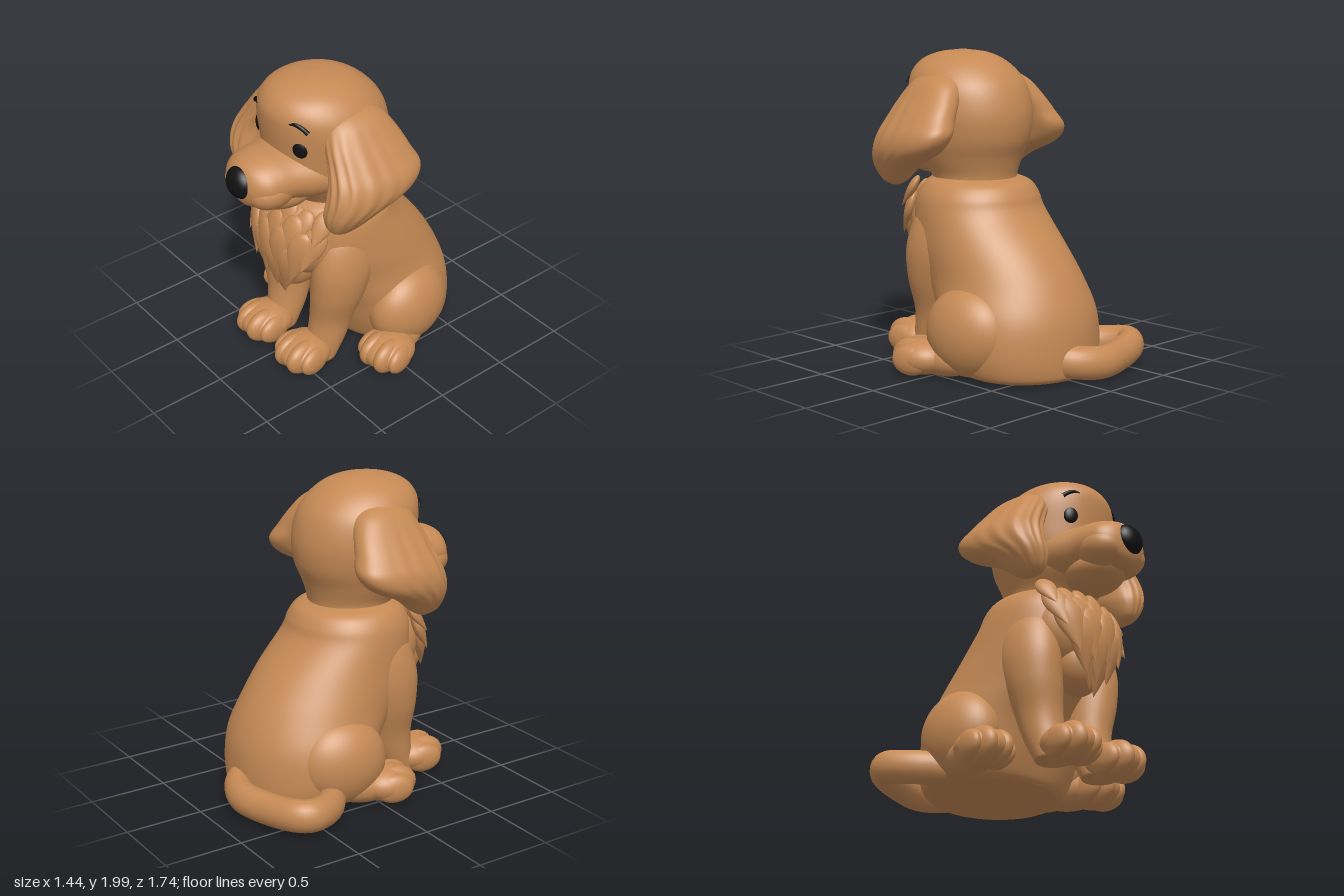
import * as THREE from 'three';

const fur = new THREE.MeshStandardMaterial({ color: 0xc68a55 });
const black = new THREE.MeshStandardMaterial({ color: 0x111111 });
const CX = 0.03; // middle of the head

// Smooth skin over elliptical rings listed bottom to top: [y, cx, cz, rx, rz]
function loft(rings, { steps = 48, sides = 64, skew = 0, bump = () => 1 } = {}) {
  const curve = pts => new THREE.CatmullRomCurve3(pts, false, 'catmullrom', 0.5);
  const mid = curve(rings.map(r => new THREE.Vector3(r[1], r[0], r[2])));
  const rad = curve(rings.map(r => new THREE.Vector3(r[3], r[4], 0)));
  const pos = [], idx = [];
  for (let i = 0; i <= steps; i++) {
    const t = i / steps, c = mid.getPoint(t), r = rad.getPoint(t);
    for (let j = 0; j < sides; j++) {
      const a = (j / sides) * Math.PI * 2, k = bump(a, t);
      const dz = Math.cos(a) * r.y * k;
      pos.push(c.x + Math.sin(a) * r.x * k + dz * skew, c.y, c.z + dz);
      if (i < steps) {
        const p = i * sides + j, q = i * sides + (j + 1) % sides;
        idx.push(p, q, q + sides, p, q + sides, p + sides);
      }
    }
  }
  // end caps
  const low = pos.length / 3, top = low + 1, last = steps * sides;
  const a = mid.getPoint(0), b = mid.getPoint(1);
  pos.push(a.x, a.y, a.z, b.x, b.y, b.z);
  for (let j = 0; j < sides; j++) {
    const n = (j + 1) % sides;
    idx.push(low, n, j, top, last + j, last + n);
  }
  const g = new THREE.BufferGeometry();
  g.setAttribute('position', new THREE.Float32BufferAttribute(pos, 3));
  g.setIndex(idx);
  g.computeVertexNormals();
  return g;
}

export function createModel() {
  const model = new THREE.Group();
  model.name = 'puppy';
  const sphere = new THREE.SphereGeometry(1, 40, 28);

  const add = (name, geometry, material = fur, parent = model) => {
    const m = new THREE.Mesh(geometry, material);
    m.name = name;
    parent.add(m);
    return m;
  };
  const ball = (name, p, r, rot = [0, 0, 0], material = fur, parent = model) => {
    const m = add(name, sphere, material, parent);
    m.position.set(...p);
    m.scale.set(...r);
    m.rotation.set(...rot);
    return m;
  };

  // Sitting body, from the flat seat to the neck, squarer at the shoulders
  add('body', loft([
    [0.02, 0.01, -0.31, 0.41, 0.38],
    [0.06, 0.01, -0.31, 0.47, 0.41],
    [0.20, 0.01, -0.29, 0.51, 0.44],
    [0.40, 0.01, -0.245, 0.505, 0.465],
    [0.60, 0.01, -0.14, 0.46, 0.49],
    [0.80, 0.02, -0.015, 0.435, 0.48],
    [1.00, 0.02, 0.08, 0.41, 0.395],
    [1.10, 0.02, 0.10, 0.385, 0.37],
    [1.17, 0.02, 0.11, 0.335, 0.33],
    [1.21, 0.03, 0.13, 0.26, 0.25],
  ], {
    bump: (a, t) => 1 + 0.09 * Math.sin(2 * a) ** 2 * Math.max(0, Math.cos(a)) * Math.sin(Math.PI * t),
  }));

  // Head with the neck
  add('head', loft([
    [1.14, CX, 0.11, 0.27, 0.25],
    [1.22, CX, 0.14, 0.27, 0.28],
    [1.33, CX, 0.17, 0.32, 0.34],
    [1.45, CX, 0.165, 0.36, 0.385],
    [1.60, CX, 0.165, 0.38, 0.40],
    [1.75, CX, 0.19, 0.375, 0.39],
    [1.85, CX, 0.22, 0.335, 0.355],
    [1.93, CX, 0.24, 0.26, 0.28],
    [1.98, CX, 0.24, 0.15, 0.17],
    [2.00, CX, 0.24, 0.02, 0.02],
  ]));

  // Blunt muzzle (lofted forward), jaw and nose
  const face = new THREE.Group();
  face.name = 'face';
  model.add(face);
  add('muzzle', loft([
    [0.34, CX, -1.43, 0.32, 0.19],
    [0.44, CX, -1.435, 0.29, 0.185],
    [0.55, CX, -1.445, 0.25, 0.17],
    [0.65, CX, -1.445, 0.23, 0.165],
    [0.73, CX, -1.435, 0.21, 0.155],
    [0.79, CX, -1.43, 0.155, 0.125],
    [0.82, CX, -1.43, 0.08, 0.065],
    [0.825, CX, -1.43, 0.01, 0.01],
  ]).rotateX(Math.PI / 2), fur, face);
  ball('lowerJaw', [CX, 1.31, 0.51], [0.19, 0.12, 0.22], [-0.08, 0, 0], fur, face);
  ball('nose', [CX, 1.452, 0.795], [0.105, 0.1, 0.072], [-0.15, 0, 0], black, face);

  for (const s of [1, -1]) {
    const side = s > 0 ? 'left' : 'right';
    const hx = u => CX + s * u;

    ball(side + 'Lip', [hx(0.1), 1.39, 0.64], [0.135, 0.115, 0.165], [0, s * 0.2, s * 0.25], fur, face);
    ball(side + 'Eye', [hx(0.19), 1.66, 0.492], [0.055, 0.068, 0.035], [0, s * 0.45, s * 0.15], black, face);

    // Short arched brow
    const brow = new THREE.CatmullRomCurve3([
      [0.145, 1.818, 0.532], [0.185, 1.824, 0.517], [0.225, 1.808, 0.5], [0.255, 1.78, 0.482],
    ].map(p => new THREE.Vector3(hx(p[0]), p[1], p[2])));
    add(side + 'Brow', new THREE.TubeGeometry(brow, 16, 0.014, 10), black, face);

    // Long floppy ear hanging from the crown, grooved toward the front and tip
    add(side + 'Ear', loft([
      [1.165, hx(0.455), 0.38, 0.02, 0.03],
      [1.20, hx(0.455), 0.38, 0.065, 0.10],
      [1.30, hx(0.475), 0.33, 0.12, 0.18],
      [1.40, hx(0.495), 0.22, 0.145, 0.275],
      [1.50, hx(0.48), 0.165, 0.15, 0.30],
      [1.60, hx(0.425), 0.165, 0.14, 0.27],
      [1.70, hx(0.36), 0.17, 0.13, 0.24],
      [1.80, hx(0.285), 0.175, 0.125, 0.19],
      [1.85, hx(0.24), 0.18, 0.09, 0.12],
      [1.875, hx(0.2), 0.18, 0.02, 0.03],
    ], {
      sides: 120,
      skew: -s * 0.06,
      bump: (a, t) => 1 + 0.06 * Math.sin(2 * a) ** 2 + 0.03 * Math.cos(a * 15 + 2 * t)
        * Math.max(0, Math.cos(a - s * 0.6)) * Math.sin(Math.PI * Math.max(0, 1 - t * 1.25)),
    }));

    // Straight front leg, merging into the shoulder
    add(side + 'FrontLeg', loft([
      [0.05, 0.01 + s * 0.21, 0.37, 0.11, 0.11],
      [0.20, 0.01 + s * 0.215, 0.31, 0.125, 0.13],
      [0.35, 0.01 + s * 0.225, 0.275, 0.135, 0.15],
      [0.55, 0.015 + s * 0.255, 0.25, 0.16, 0.19],
      [0.75, 0.02 + s * 0.27, 0.22, 0.16, 0.22],
      [0.95, 0.02 + s * 0.24, 0.19, 0.145, 0.2],
      [1.08, 0.02 + s * 0.2, 0.18, 0.08, 0.12],
    ], { sides: 40 }));

    // Folded hind leg
    ball(side + 'Thigh', [0.015 + s * 0.395, 0.305, -0.21], [0.205, 0.28, 0.3], [0.15, s * 0.12, 0]);
    ball(side + 'HindLeg', [0.02 + s * 0.46, 0.13, -0.05], [0.13, 0.115, 0.24], [0, s * 0.15, 0]);

    // Paws: a plump pad with four shallow toes
    const paw = (name, x, z, turn) => {
      const g = new THREE.Group();
      g.name = name;
      g.position.set(x, 0, z);
      g.rotation.y = turn;
      model.add(g);
      ball('pad', [0, 0.13, -0.01], [0.165, 0.115, 0.18], [0, 0, 0], fur, g);
      for (const k of [-1, 1]) {
        ball('innerToe', [k * 0.05, 0.13, 0.035], [0.07, 0.113, 0.145], [0, k * 0.08, 0], fur, g);
        ball('outerToe', [k * 0.112, 0.12, 0.0], [0.056, 0.095, 0.125], [0, k * 0.2, 0], fur, g);
      }
    };
    paw(side + 'FrontPaw', 0.01 + s * 0.205, 0.495, s * 0.05);
    paw(side + 'HindPaw', 0.035 + s * 0.51, 0.07, s * 0.12);
  }

  // Chest ruff: a soft bib covered with rows of pointed locks
  const ruff = new THREE.Group();
  ruff.name = 'chestRuff';
  model.add(ruff);
  ball('bib', [0.02, 0.92, 0.33], [0.32, 0.29, 0.245], [0, 0, 0], fur, ruff);
  ball('bibTip', [0, 0.72, 0.39], [0.17, 0.2, 0.16], [0, 0, 0], fur, ruff);
  const profile = new THREE.SplineCurve([
    [0, -1], [0.2, -0.65], [0.42, -0.15], [0.45, 0.25], [0.28, 0.58], [0, 0.7],
  ].map(p => new THREE.Vector2(...p))).getPoints(20).map(p => new THREE.Vector2(Math.max(0, p.x), p.y));
  const lockShape = new THREE.LatheGeometry(profile, 20);
  // rows: [height, depth at the middle, half width, locks, length, tilt]
  [[1.1, 0.485, 0.31, 6, 0.15, -0.5], [1.0, 0.535, 0.28, 5, 0.19, -0.3], [0.9, 0.56, 0.22, 4, 0.22, -0.08],
    [0.79, 0.555, 0.13, 3, 0.22, 0.1], [0.7, 0.53, 0.03, 2, 0.2, 0.2]].forEach(([y, z, w, n, len, tilt]) => {
    for (let i = 0; i < n; i++) {
      const k = (i / (n - 1)) * 2 - 1, x = k * w;
      const m = add('lock', lockShape, fur, ruff);
      m.position.set(0.01 + x, y + 0.02 * Math.cos(i * 2.4), 0.33 + (z - 0.33) * Math.sqrt(1 - (x / 0.37) ** 2));
      m.scale.set(len * 0.9, len, len * 0.42);
      m.rotation.set(tilt, x * 2.6, -x * 1.3, 'YXZ');
    }
  });

  // Tail lying on the ground, curling round to the right side
  const tail = new THREE.CatmullRomCurve3([
    [0.1, 0.14, -0.58], [0.0, 0.13, -0.72], [-0.15, 0.115, -0.78], [-0.38, 0.11, -0.73],
    [-0.59, 0.125, -0.65], [-0.63, 0.125, -0.58], [-0.56, 0.11, -0.42], [-0.42, 0.11, -0.3],
  ].map(p => new THREE.Vector3(...p)));
  const tube = new THREE.TubeGeometry(tail, 64, 0.09, 24);
  const p = tube.attributes.position;
  for (let i = 0; i < p.count; i++) p.setY(i, Math.max(0.01, (p.getY(i) - 0.11) * 1.15 + 0.11));
  tube.computeVertexNormals();
  add('tail', tube);

  return model;
}
